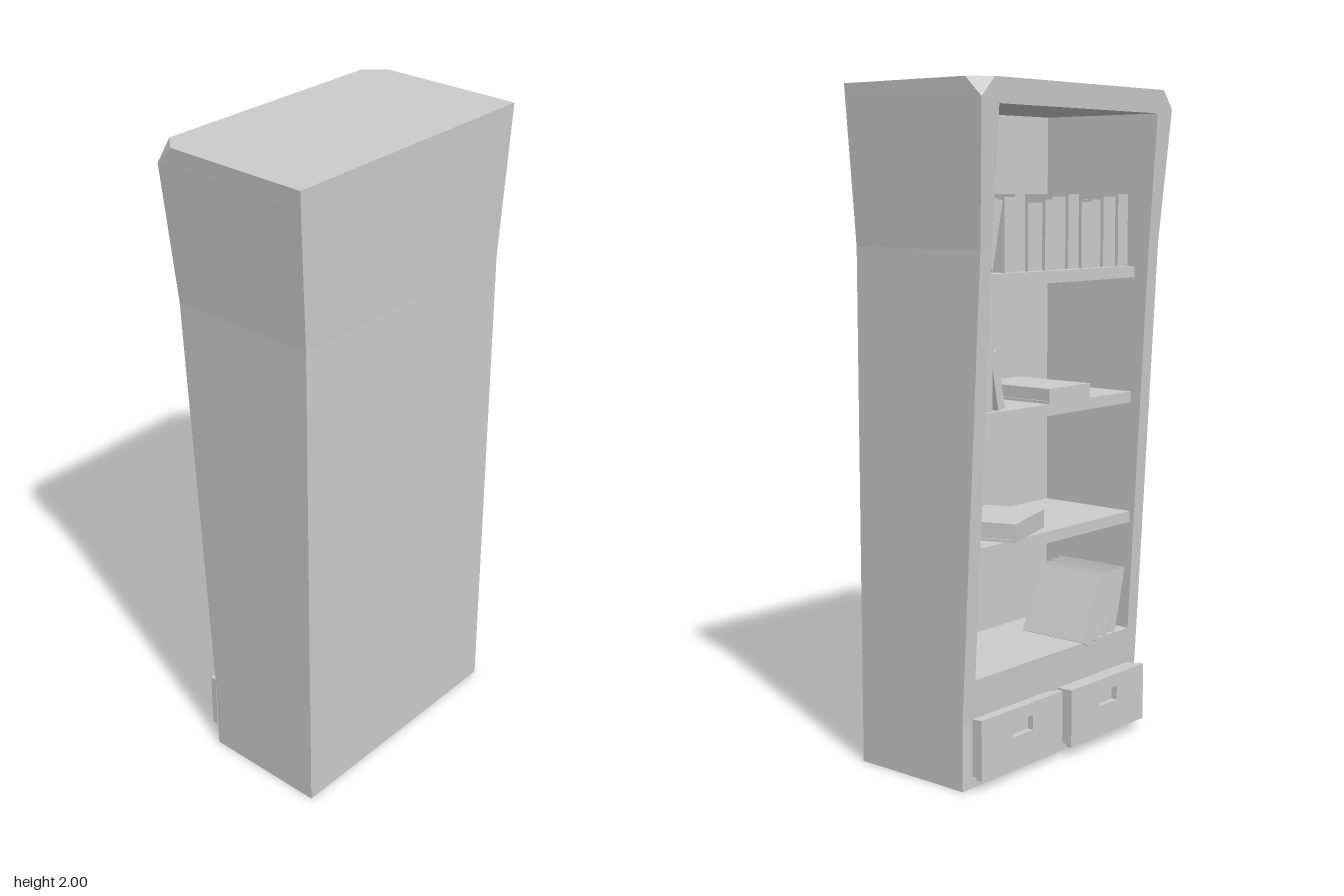
import * as THREE from 'three';

const grey = new THREE.MeshStandardMaterial({ color: 0xcccccc });
grey.name = 'plain grey';

function add(parent, name, geometry, x = 0, y = 0, z = 0) {
  const mesh = new THREE.Mesh(geometry, grey);
  mesh.name = name;
  mesh.position.set(x, y, z);
  parent.add(mesh);
  return mesh;
}

// Box given by its min and max on each axis
function block(parent, name, [x0, x1], [y0, y1], [z0, z1]) {
  return add(parent, name, new THREE.BoxGeometry(x1 - x0, y1 - y0, z1 - z0),
    (x0 + x1) / 2, (y0 + y1) / 2, (z0 + z1) / 2);
}

// Flat-faced surface from counter-clockwise polygons
function polygons(faces) {
  const data = [];
  for (const f of faces)
    for (let i = 1; i < f.length - 1; i++) data.push(...f[0], ...f[i], ...f[i + 1]);
  const g = new THREE.BufferGeometry();
  g.setAttribute('position', new THREE.Float32BufferAttribute(data, 3));
  g.computeVertexNormals();
  return g;
}

const FLOOR = 0.32, CEIL = 1.93, HALF = 0.367, BACK = 0.17;

// Flared case with an open front facing -x and clipped top corners
function cabinet() {
  // y, front x, back x, half width, half width of the front face, front x of the sides
  const level = (y, f, b, w, wf = w, s = f) => ({ y, f, b, w, wf, s });
  const rows = [
    level(0, -0.155, 0.245, 0.415), level(0.2, -0.155, 0.245, 0.415),
    level(FLOOR, -0.162, 0.245, 0.415), level(1.54, -0.228, 0.245, 0.415),
    level(CEIL, -0.255, 0.256, 0.439), level(1.945, -0.256, 0.2565, 0.44),
    level(2, -0.26, 0.258, 0.443, 0.39, -0.2),
  ];
  const faces = [];
  const front = (p, q, a0, b0, a1, b1, px = p.f, qx = q.f) =>
    faces.push([[px, p.y, a0], [px, p.y, b0], [qx, q.y, b1], [qx, q.y, a1]]);
  const both = (pts) => {
    faces.push(pts);
    faces.push(pts.map(([x, y, z]) => [x, y, -z]).reverse());
  };
  for (let i = 0; i < rows.length - 1; i++) {
    const p = rows[i], q = rows[i + 1];
    both([[p.s, p.y, p.w], [p.b, p.y, p.w], [q.b, q.y, q.w], [q.s, q.y, q.w]]);
    faces.push([[p.b, p.y, p.w], [p.b, p.y, -p.w], [q.b, q.y, -q.w], [q.b, q.y, q.w]]);
    if (p.y >= FLOOR && q.y <= CEIL) {
      // stiles, inner walls and inner back
      front(p, q, -p.wf, -HALF, -q.wf, -HALF);
      front(p, q, HALF, p.wf, HALF, q.wf);
      both([[BACK, p.y, HALF], [p.f, p.y, HALF], [q.f, q.y, HALF], [BACK, q.y, HALF]]);
      front(p, q, -HALF, HALF, -HALF, HALF, BACK, BACK);
    } else front(p, q, -p.wf, p.wf, -q.wf, q.wf);
  }
  const plate = (y, x0, x1, w) => [[x0, y, w], [x1, y, w], [x1, y, -w], [x0, y, -w]];
  const c = rows[5], t = rows[6];
  faces.push(plate(0, -0.155, 0.245, 0.415).reverse());
  faces.push(plate(FLOOR, -0.162, BACK, HALF));
  faces.push(plate(CEIL, -0.255, BACK, HALF).reverse());
  faces.push([[t.s, 2, t.w], [t.b, 2, t.w], [t.b, 2, -t.w], [t.s, 2, -t.w], [t.f, 2, -t.wf], [t.f, 2, t.wf]]);
  both([[c.f, c.y, c.w], [t.s, 2, t.w], [t.f, 2, t.wf]]);
  return polygons(faces);
}

// Book standing on its lower edge, spine at x = 0, first cover at z = 0
function book(parent, name, depth, height, thick) {
  const g = new THREE.Group();
  g.name = name;
  const c = Math.min(0.008, thick * 0.2);
  block(g, 'frontCover', [0, depth], [0, height], [0, c]);
  block(g, 'backCover', [0, depth], [0, height], [thick - c, thick]);
  block(g, 'spine', [0, c], [0, height], [c, thick - c]);
  block(g, 'pages', [c, depth - 0.008], [0.006, height - 0.006], [c, thick - c]);
  parent.add(g);
  return g;
}

// Drawer with a slot handle cut in its front
function drawer(parent, name, x, z0, z1) {
  const g = new THREE.Group();
  g.name = name;
  const w = z1 - z0, mid = w / 2;
  const shape = new THREE.Shape([[0, 0.03], [w, 0.03], [w, 0.21], [0, 0.21]].map((p) => new THREE.Vector2(...p)));
  shape.holes.push(new THREE.Path([[mid - 0.045, 0.125], [mid - 0.045, 0.17], [mid + 0.045, 0.17], [mid + 0.045, 0.125]]
    .map((p) => new THREE.Vector2(...p))));
  const face = add(g, 'drawerFront', new THREE.ExtrudeGeometry(shape, { depth: 0.02, bevelEnabled: false }), x + 0.02, 0, z0);
  face.rotation.y = -Math.PI / 2;
  block(g, 'drawerBox', [x + 0.02, -0.14], [0.035, 0.205], [z0 + 0.008, z1 - 0.008]);
  parent.add(g);
}

export function createModel() {
  const model = new THREE.Group();
  model.name = 'bookcase';
  add(model, 'cabinet', cabinet());

  // Shelves
  for (const [x, y] of [[-0.175, 1.47], [-0.165, 1.08], [-0.165, 0.7]])
    block(model, 'shelf', [x, BACK], [y - 0.035, y], [-HALF, HALF]);

  // Drawers
  drawer(model, 'rightDrawer', -0.197, -0.38, -0.01);
  drawer(model, 'leftDrawer', -0.215, 0.01, 0.38);

  // Top shelf: a full row, the first two leaning
  const thickness = [0.05, 0.06, 0.045, 0.065, 0.05, 0.06, 0.05, 0.065, 0.045, 0.06];
  let z = HALF;
  thickness.forEach((t, i) => {
    z -= t + 0.004;
    book(model, 'topShelfBook', 0.25 + 0.01 * (i % 3), 0.22 - 0.008 * (i % 4), t)
      .position.set(-0.15 + 0.008 * (i % 3), 1.47, z);
  });
  for (let i = 0; i < 2; i++) {
    const b = book(model, 'leaningBook', 0.25, 0.2, 0.035);
    b.position.set(-0.15, 1.485, z - 0.085 - i * 0.042);
    b.rotation.x = 0.22;
  }

  // Second shelf: standing books and one lying flat
  [[-0.355, 0.05, 0], [-0.3, 0.03, 0], [-0.245, 0.03, -0.2]].forEach(([bz, t, lean], i) => {
    const b = book(model, 'standingBook', 0.22, 0.17 + 0.01 * (i % 2), t);
    b.position.set(-0.145, 1.08, bz);
    b.rotation.x = lean;
  });
  const flat = book(model, 'flatBook', 0.28, 0.195, 0.045);
  flat.rotation.x = -Math.PI / 2;
  flat.position.set(-0.168, 1.08, 0.153);

  // Third shelf: a flat book turned askew past the shelf edge
  const askew = new THREE.Group();
  askew.name = 'askewBook';
  const lying = book(askew, 'flatBook', 0.19, 0.245, 0.055);
  lying.rotation.x = -Math.PI / 2;
  lying.position.z = 0.245;
  askew.position.set(-0.2, 0.701, -0.234);
  askew.rotation.y = 0.34;
  model.add(askew);

  // Bottom shelf: a row leaning on the side wall
  for (let i = 0; i < 4; i++) {
    const b = book(model, 'bottomShelfBook', 0.24, 0.22 - 0.004 * i, 0.034);
    b.rotation.x = 0.45 - 0.07 * i;
    b.position.set(-0.185 + 0.006 * i, 0.33, 0.105 + i * 0.051);
  }
  return model;
}
